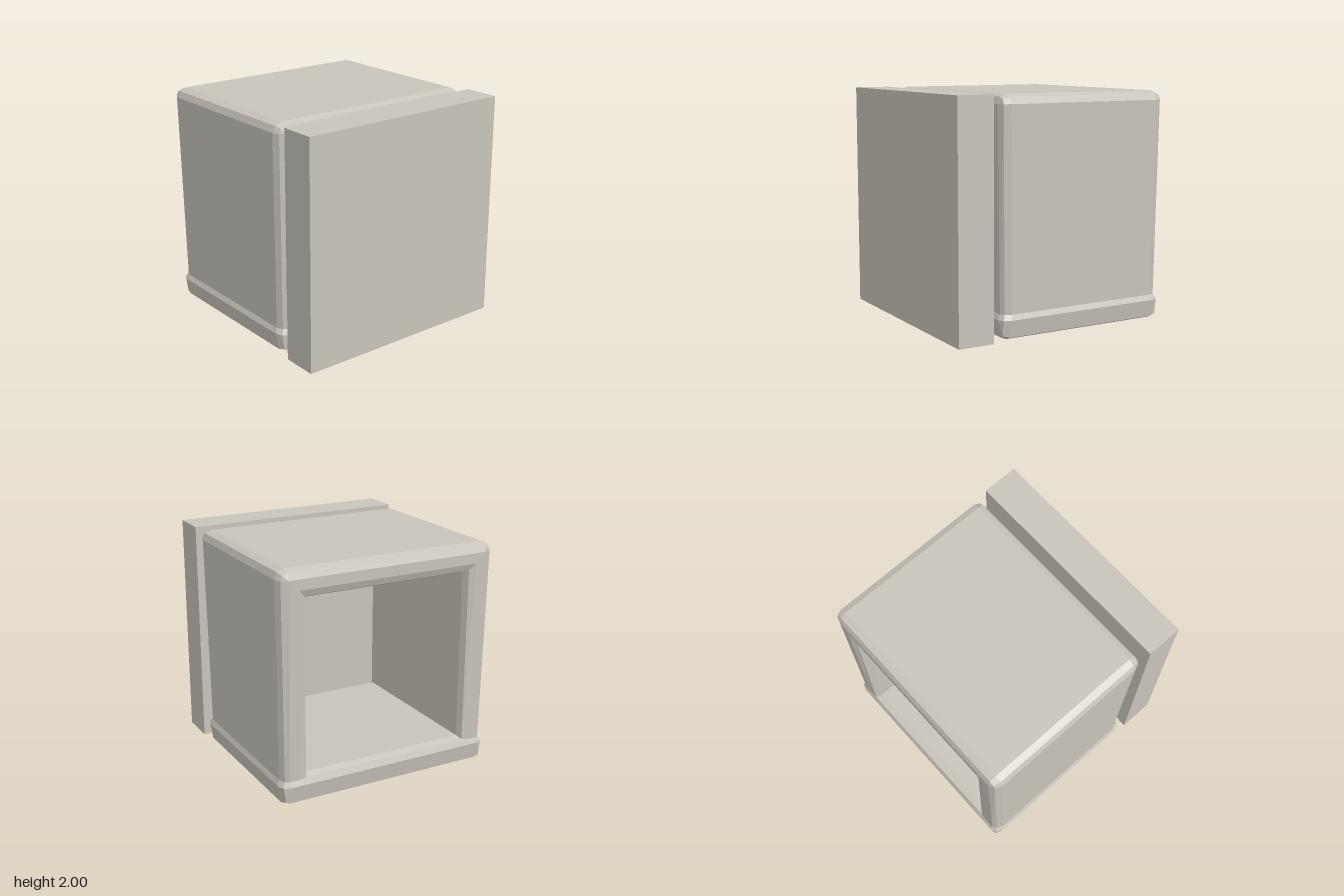
import * as THREE from 'three';

const stone = new THREE.MeshStandardMaterial({ color: 0xc8c4bb });
stone.name = 'warmGrey';

const CENTRE_Z = -0.2; // middle of the hollow housing
const LIP = 0.17;      // widest level of the base lip
const WAIST = 0.215;   // where the walls step in above the lip
const STEP = 0.02;

// Half profile of the tube end: [half depth, half width, bottom, top, corner radius]
const stations = [
  [0.72, 0.75, 0.25, 1.75, 0],       // inner wall
  [0.777, 0.773, 0.227, 1.773, 0],   // inner bevel
  [0.8, 0.83, LIP, 1.83, 0],         // opening edge
  [0.8, 0.92, LIP, 1.92, 0],         // rim
  [0.777, 0.977, 0.023, 1.977, 0.057], // outer bevel
  [0.72, 1, 0, 2, 0.08],             // outer wall
];

// One closed loop, counter-clockwise from the front
function ring([d, w, yb, yt, c], side) {
  const m = c * 0.293;
  const outer = yb <= LIP;
  const half = [
    [w - c, yb, d],
    [w - m, yb + m, d],
    [w, Math.max(yb, LIP), d],
    [c ? w - STEP : w, Math.max(yb, WAIST), outer ? d - STEP : d],
    [w, yt - c, d],
    [w - m, yt - m, d],
    [w - c, yt, d],
  ];
  const mirrored = half.map(([x, y, z]) => [-x, y, z]).reverse();
  return [...half, ...mirrored].map(([x, y, z]) => new THREE.Vector3(x, y, CENTRE_Z + side * z));
}

// Hollow bevelled housing, open at both ends
function housingGeometry() {
  const rings = [
    ...stations.map((s) => ring(s, 1)),
    ...[...stations].reverse().map((s) => ring(s, -1)),
  ];
  const positions = [];
  const tri = new THREE.Triangle();
  const add = (a, b, c) => {
    tri.set(a, b, c);
    if (tri.getArea() > 1e-7) for (const v of [a, b, c]) positions.push(v.x, v.y, v.z);
  };
  rings.forEach((r, i) => {
    const next = rings[(i + 1) % rings.length];
    r.forEach((a, j) => {
      const k = (j + 1) % r.length;
      add(a, next[j], next[k]);
      add(a, next[k], r[k]);
    });
  });
  const geometry = new THREE.BufferGeometry();
  geometry.setAttribute('position', new THREE.Float32BufferAttribute(positions, 3));
  geometry.computeVertexNormals(); // unshared corners keep the facets flat
  return geometry;
}

export function createModel() {
  const group = new THREE.Group();
  group.name = 'hollowBlock';

  const housing = new THREE.Mesh(housingGeometry(), stone);
  housing.name = 'housing';

  // Plain slab standing just in front of the housing
  const panel = new THREE.Mesh(new THREE.BoxGeometry(2, 2, 0.32), stone);
  panel.name = 'frontPanel';
  panel.position.set(0, 1, 0.84);

  group.add(housing, panel);
  return group;
}
